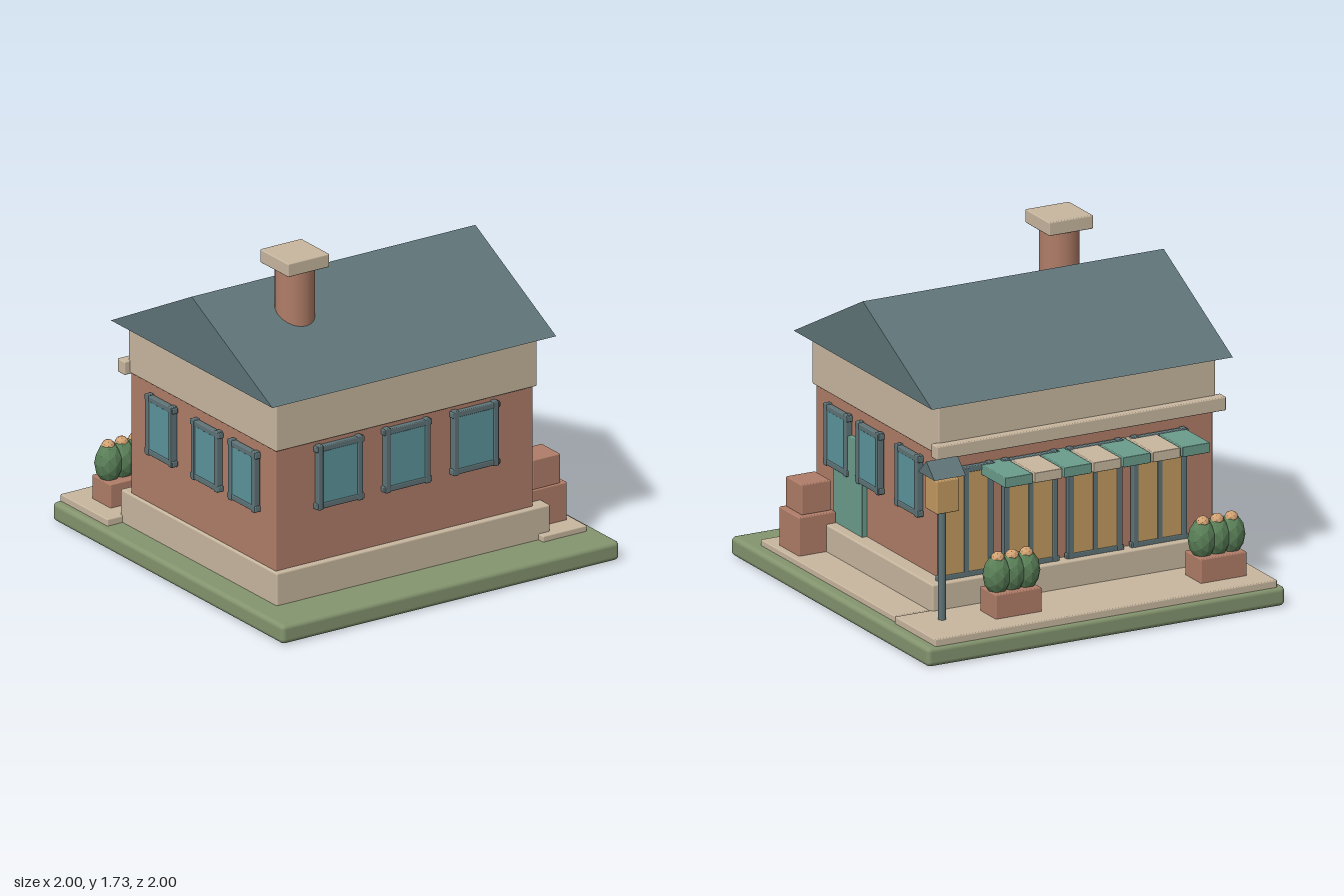
import * as THREE from 'three';
import { RoundedBoxGeometry } from 'three/addons/geometries/RoundedBoxGeometry.js';

export function createModel() {
  const material = (name, color, flatShading = false) => {
    const m = new THREE.MeshStandardMaterial({ color, flatShading });
    m.name = name;
    return m;
  };
  const brick = material('brick', 0xb07d68);
  const stone = material('sandstone', 0xc8b79f);
  const slate = material('slate', 0x5f7478);
  const teal = material('teal', 0x6b9c8c);
  const glass = material('glass', 0x5b959c);
  const lawnGreen = material('lawn green', 0x84956f);
  const leaf = material('leaf green', 0x5a8058, true);
  const amber = material('amber', 0xc39a62);
  const blossom = material('blossom', 0xd3a373, true);

  const model = new THREE.Group();
  model.name = 'cornerShop';

  const add = (parent, name, geometry, mat, x = 0, y = 0, z = 0) => {
    const mesh = new THREE.Mesh(geometry, mat);
    mesh.name = name;
    mesh.position.set(x, y, z);
    parent.add(mesh);
    return mesh;
  };
  // Softened box given by its limits on each axis
  const box = (parent, name, mat, [x0, x1], [y0, y1], [z0, z1], r = 0.006) =>
    add(parent, name, new RoundedBoxGeometry(x1 - x0, y1 - y0, z1 - z0, 2, r), mat,
      (x0 + x1) / 2, (y0 + y1) / 2, (z0 + z1) / 2);
  // Gable roof with its ridge along x
  const gable = (name, [x0, x1], [y0, y1], [z0, z1]) => {
    const shape = new THREE.Shape([
      new THREE.Vector2(-z1, y0), new THREE.Vector2(-z0, y0), new THREE.Vector2(-(z0 + z1) / 2, y1),
    ]);
    const g = new THREE.ExtrudeGeometry(shape, { depth: x1 - x0, bevelEnabled: false });
    g.rotateY(Math.PI / 2);
    return add(model, name, g, slate, x0, 0, 0);
  };

  // Ground
  box(model, 'lawn', lawnGreen, [-1, 1], [0, 0.1], [-1, 1], 0.025);
  box(model, 'backPavement', stone, [-0.96, 0.95], [0.09, 0.135], [-0.985, -0.575]);
  box(model, 'sidePavement', stone, [0.68, 0.94], [0.09, 0.13], [-0.555, 0.8]);

  // Building
  box(model, 'plinth', stone, [-0.87, 0.75], [0.09, 0.27], [-0.595, 0.76], 0.01);
  box(model, 'walls', brick, [-0.855, 0.668], [0.2, 0.93], [-0.523, 0.73]);
  box(model, 'upperBand', stone, [-0.867, 0.68], [0.905, 1.165], [-0.53, 0.75], 0.008);
  box(model, 'signLedge', stone, [-0.9, 0.715], [0.9, 0.97], [-0.578, -0.515]);
  gable('roof', [-0.93, 0.75], [1.172, 1.527], [-0.59, 0.81]);

  // Chimney
  add(model, 'chimney', new THREE.CylinderGeometry(0.1, 0.1, 0.42, 20), brick, -0.463, 1.46, 0.32);
  box(model, 'chimneyCap', stone, [-0.586, -0.34], [1.66, 1.73], [0.198, 0.443]);

  // Door, set just behind the side windows
  box(model, 'door', teal, [0.66, 0.695], [0.26, 0.75], [0.217, 0.51], 0.004);

  // Window facing +z, with frame bars crossing at the corners
  const windowUnit = (name, w, h, pane, mullion) => {
    const g = new THREE.Group();
    g.name = name;
    add(g, 'pane', new THREE.BoxGeometry(w - 0.03, h - 0.03, 0.008), pane, 0, 0, 0.026);
    const half = w / 2 - 0.02, top = h / 2 - 0.02;
    for (const s of [-1, 1]) {
      add(g, 'frameUpright', new RoundedBoxGeometry(0.03, h, 0.036, 2, 0.005), slate, s * half, 0, 0.018);
      add(g, 'frameRail', new RoundedBoxGeometry(w + 0.01, 0.03, 0.032, 2, 0.005), slate, 0, s * top, 0.018);
    }
    if (mullion) add(g, 'mullion', new THREE.BoxGeometry(0.025, h - 0.03, 0.034), slate, 0, 0, 0.018);
    model.add(g);
    return g;
  };
  for (const x of [-0.492, -0.092, 0.312]) {
    windowUnit('frontWindow', 0.275, 0.34, glass).position.set(x, 0.715, 0.728);
  }
  for (const z of [0.48, 0.157, -0.238]) {
    for (const s of [-1, 1]) {
      const side = windowUnit(s > 0 ? 'leftWindow' : 'rightWindow', 0.24, 0.32, glass);
      side.position.set(s > 0 ? 0.668 : -0.855, 0.697, z);
      side.rotation.y = s * Math.PI / 2;
    }
  }
  // Lit shop windows along the back
  for (const x of [-0.54, -0.18, 0.18, 0.54]) {
    const shop = windowUnit('shopWindow', 0.31, 0.58, amber, true);
    shop.position.set(x, 0.55, -0.528);
    shop.rotation.y = Math.PI;
  }

  // Striped awning
  for (let i = 0; i < 7; i++) {
    const x = -0.612 + i * 0.165;
    box(model, 'awningSlat', i % 2 ? stone : teal, [x - 0.077, x + 0.077], [0.78, 0.832], [-0.797, -0.52], 0.004);
  }

  // Street lamp
  add(model, 'lampPost', new THREE.CylinderGeometry(0.02, 0.02, 0.6, 12), slate, 0.767, 0.42, -0.722);
  box(model, 'lampLantern', amber, [0.705, 0.83], [0.7, 0.87], [-0.785, -0.66]);
  gable('lampRoof', [0.68, 0.855], [0.885, 0.962], [-0.805, -0.64]);

  // Planters, each with three flowering shrubs
  const shrub = new THREE.IcosahedronGeometry(1, 1).scale(0.072, 0.105, 0.07);
  const bud = new THREE.IcosahedronGeometry(0.035, 1);
  for (const cx of [-0.735, 0.41]) {
    const planter = new THREE.Group();
    planter.name = 'planter';
    model.add(planter);
    box(planter, 'planterBox', brick, [cx - 0.128, cx + 0.128], [0.13, 0.258], [-0.853, -0.69]);
    for (const dx of [-0.08, 0, 0.08]) {
      add(planter, 'shrub', shrub, leaf, cx + dx, 0.337, -0.777);
      add(planter, 'bloom', bud, blossom, cx + dx, 0.422, -0.782);
    }
  }

  // Stacked crates by the door
  box(model, 'lowerCrate', brick, [0.697, 0.903], [0.125, 0.328], [0.478, 0.682]);
  box(model, 'upperCrate', brick, [0.707, 0.87], [0.325, 0.482], [0.51, 0.672]);

  return model;
}
